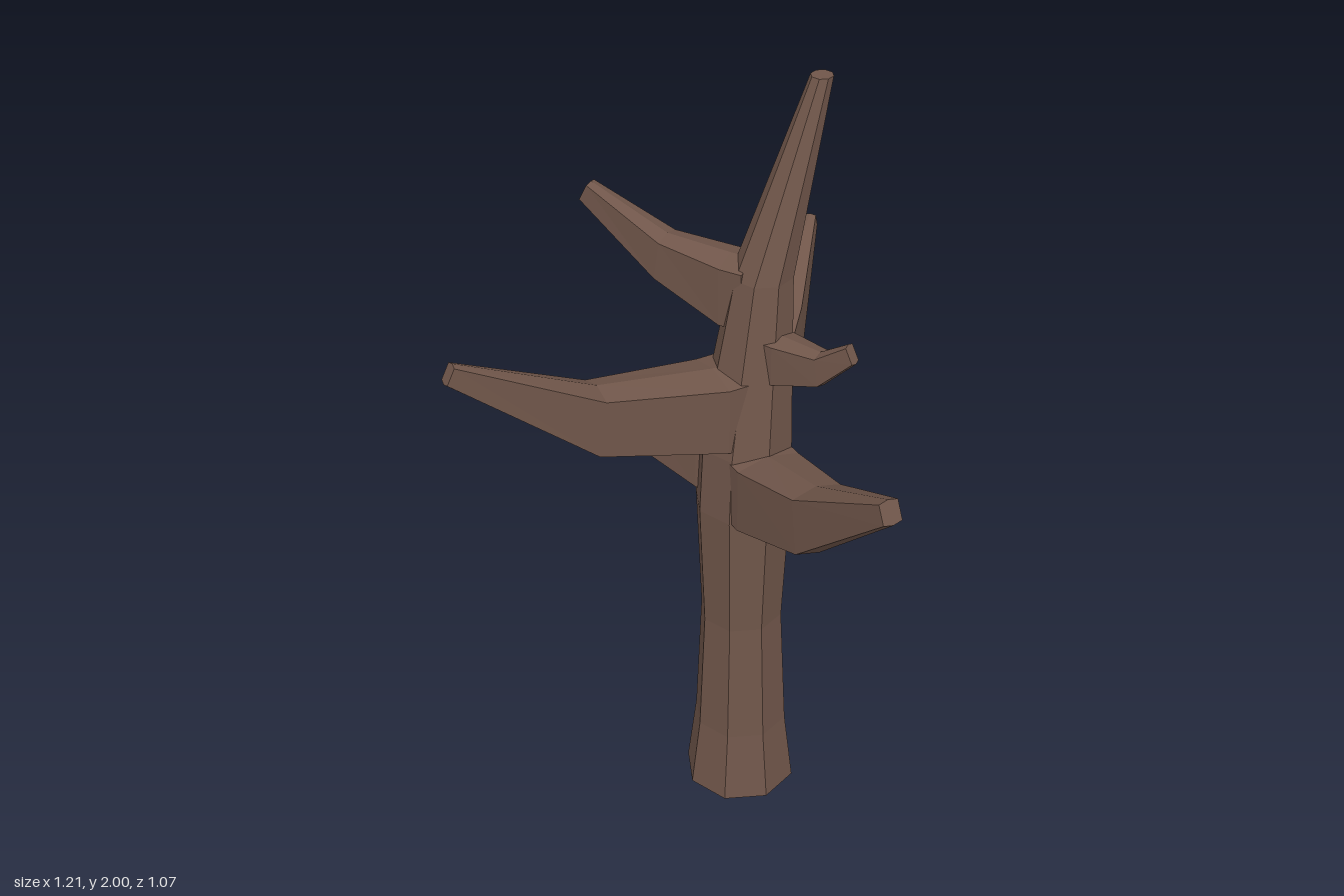
import * as THREE from 'three';

const bark = new THREE.MeshStandardMaterial({ color: 0x70564a, flatShading: true });

// Skin a list of equal-length rings (counter-clockwise seen from the far end) and cap both ends
function loft(name, rings) {
  const n = rings[0].length, last = (rings.length - 1) * n, index = [];
  for (let i = 0; i < rings.length - 1; i++) {
    for (let j = 0; j < n; j++) {
      const a = i * n + j, b = i * n + (j + 1) % n;
      index.push(a, b, b + n, a, b + n, a + n);
    }
  }
  for (let j = 1; j < n - 1; j++) {
    index.push(0, j + 1, j, last, last + j, last + j + 1);
  }
  const geo = new THREE.BufferGeometry().setFromPoints(rings.flat());
  geo.setIndex(index);
  const flat = geo.toNonIndexed();
  flat.computeVertexNormals();
  const mesh = new THREE.Mesh(flat, bark);
  mesh.name = name;
  return mesh;
}

// Eight-sided trunk: stations of [centre x, y, radius]
function trunk() {
  const z = -0.115;
  const stations = [
    [0.163, 0, 0.147], [0.163, 0.2, 0.123], [0.162, 0.55, 0.107], [0.163, 0.9, 0.122],
    [0.168, 1.08, 0.118], [0.185, 1.28, 0.1], [0.21, 1.53, 0.075], [0.355, 2, 0.027],
  ];
  return loft('trunk', stations.map(([x, y, r]) => Array.from({ length: 8 }, (_, k) => {
    const a = k * Math.PI / 4;
    return new THREE.Vector3(x + r * Math.sin(a), y, z + r * Math.cos(a));
  })));
}

// Six-sided branch, ridged above and below: base, elbow and tip as
// [x, y, z, half height, half width]; rings lean back more towards the tip
function branch(name, stations) {
  const [base, , tip] = stations;
  const d = new THREE.Vector3(tip[0] - base[0], 0, tip[2] - base[2]).normalize();
  const side = new THREE.Vector3(d.z, 0, -d.x);
  const root = [base[0] - d.x * 0.06, base[1], base[2] - d.z * 0.06, base[3], base[4]];
  const lean = [0, 0, 0.15, 0.5];
  const section = [[1, -0.82], [1, 0.82], [0, 1], [-1, 0.82], [-1, -0.82], [0, -1]];
  return loft(name, [root, ...stations].map(([x, y, z, h, w], i) =>
    section.map(([u, v]) => new THREE.Vector3(x, y + v * h, z)
      .addScaledVector(side, u * w)
      .addScaledVector(d, -v * h * lean[i]))));
}

export function createModel() {
  const tree = new THREE.Group();
  tree.name = 'bareTree';
  tree.add(
    trunk(),
    branch('rightBranch', [
      [0.08, 1.195, -0.12, 0.108, 0.083], [-0.24, 1.263, -0.118, 0.088, 0.056], [-0.59, 1.495, -0.113, 0.024, 0.016]]),
    branch('frontBranch', [
      [0.167, 0.987, 0, 0.106, 0.085], [0.169, 1.053, 0.232, 0.088, 0.066], [0.175, 1.258, 0.522, 0.027, 0.025]]),
    branch('backLeftBranch', [
      [0.245, 1.175, -0.2, 0.095, 0.08], [0.385, 1.222, -0.325, 0.085, 0.058], [0.588, 1.38, -0.522, 0.022, 0.015]]),
    branch('upperBackBranch', [
      [0.16, 1.475, -0.18, 0.092, 0.06], [0.06, 1.517, -0.325, 0.06, 0.04], [-0.052, 1.632, -0.51, 0.026, 0.018]]),
    branch('smallFrontBranch', [
      [0.22, 1.335, -0.035, 0.063, 0.045], [0.267, 1.352, 0.07, 0.043, 0.028], [0.302, 1.42, 0.142, 0.023, 0.014]]),
    branch('smallBackBranch', [
      [0.105, 1.0, -0.205, 0.09, 0.05], [0.03, 1.013, -0.315, 0.055, 0.032], [-0.047, 1.062, -0.435, 0.025, 0.016]]),
  );
  return tree;
}
